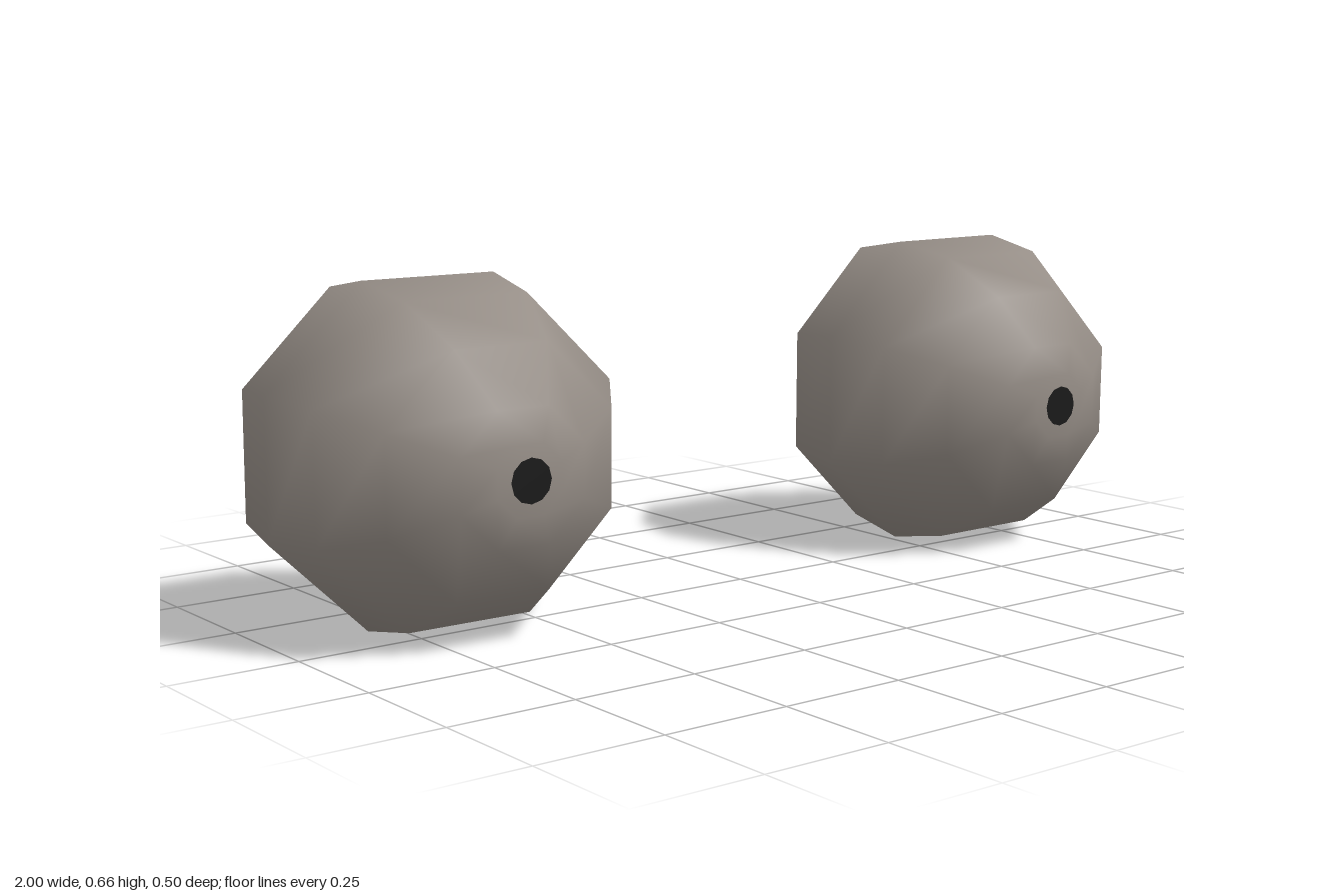
import * as THREE from 'three';

export function createModel() {
  const model = new THREE.Group();
  model.name = 'eyes';
  const shellMaterial = new THREE.MeshStandardMaterial({ color: 0x968e87, side: THREE.DoubleSide });
  shellMaterial.name = 'warm grey';
  const pupilMaterial = new THREE.MeshStandardMaterial({ color: 0x1a1a1a });
  pupilMaterial.name = 'pupil black';

  // Eight-sided open eyeball: [distance to flat side, depth], back rim to front
  const profile = [
    [0.303, -0.141], [0.328, 0], [0.303, 0.136], [0.229, 0.254],
    [0.125, 0.326], [0.065, 0.347], [0, 0.348],
  ];
  const toCorner = 1 / Math.cos(Math.PI / 8);
  const shell = new THREE.LatheGeometry(
    profile.map(([r, d]) => new THREE.Vector2(r * toCorner, d)), 8, Math.PI / 8);
  shell.rotateX(Math.PI / 2);
  shell.scale(1.03, 1, 1);

  // Small flat pupil just in front of the pole
  const pupil = new THREE.CircleGeometry(0.042, 12);
  pupil.translate(0, 0, 0.351);

  for (const [side, name] of [[1, 'left'], [-1, 'right']]) {
    const eye = new THREE.Group();
    eye.name = name + 'Eye';
    const ball = new THREE.Mesh(shell, shellMaterial);
    ball.name = name + 'Eyeball';
    const dot = new THREE.Mesh(pupil, pupilMaterial);
    dot.name = name + 'Pupil';
    eye.add(ball, dot);
    // Slightly turned outward and down
    eye.position.set(side * 0.661, 0.328, -0.101);
    eye.rotation.set(0.0135, side * 0.016, 0);
    model.add(eye);
  }
  return model;
}
